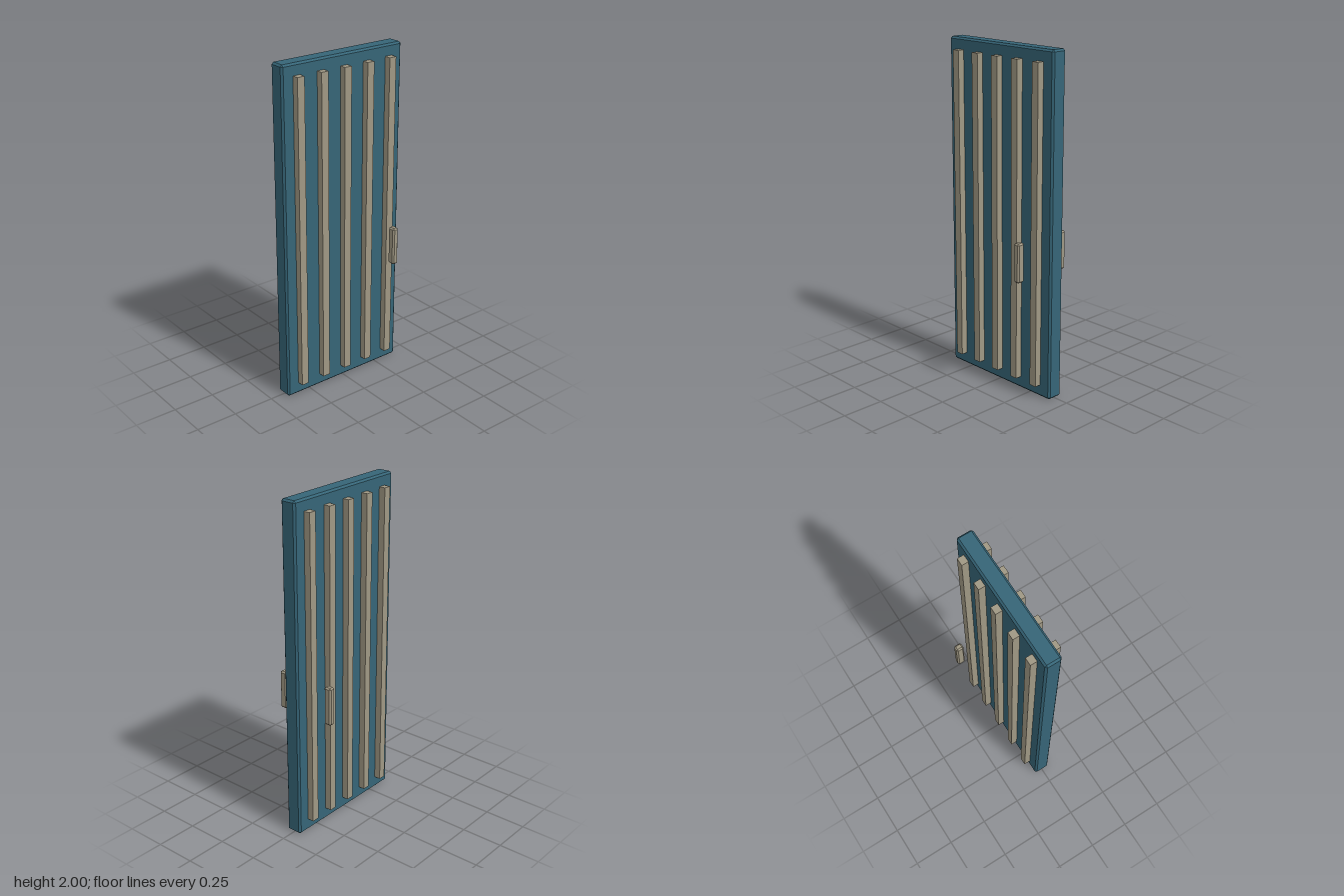
import * as THREE from 'three';
import { ConvexGeometry } from 'three/addons/geometries/ConvexGeometry.js';

// Box with flat chamfers of size c along every edge
function chamferBox(w, h, d, c) {
  const points = [];
  for (const x of [-w / 2, w / 2])
    for (const y of [-h / 2, h / 2])
      for (const z of [-d / 2, d / 2]) {
        const ix = x - Math.sign(x) * c, iy = y - Math.sign(y) * c, iz = z - Math.sign(z) * c;
        points.push(
          new THREE.Vector3(x, iy, iz),
          new THREE.Vector3(ix, y, iz),
          new THREE.Vector3(ix, iy, z)
        );
      }
  return new ConvexGeometry(points);
}

export function createModel() {
  const door = new THREE.Group();
  door.name = 'door';

  const blue = new THREE.MeshStandardMaterial({ color: 0x366577 });
  const beige = new THREE.MeshStandardMaterial({ color: 0xa09884 });

  const add = (name, geometry, material, x, y, z) => {
    const mesh = new THREE.Mesh(geometry, material);
    mesh.name = name;
    mesh.position.set(x, y, z);
    door.add(mesh);
  };

  // Door panel
  add('panel', chamferBox(0.818, 2, 0.097, 0.011), blue, 0, 1, 0);

  // Vertical slats and a floating handle on both faces
  const slat = new THREE.BoxGeometry(0.046, 1.86, 0.044);
  const handle = chamferBox(0.039, 0.23, 0.048, 0.009);
  for (const side of [1, -1]) {
    const face = side > 0 ? 'front' : 'back';
    for (let i = -2; i <= 2; i++) {
      add(`${face}Slat${i + 3}`, slat, beige, i * 0.157, 1.003, side * 0.066);
    }
    add(`${face}Handle`, handle, beige, 0.278, 0.83, side * 0.165);
  }

  return door;
}
